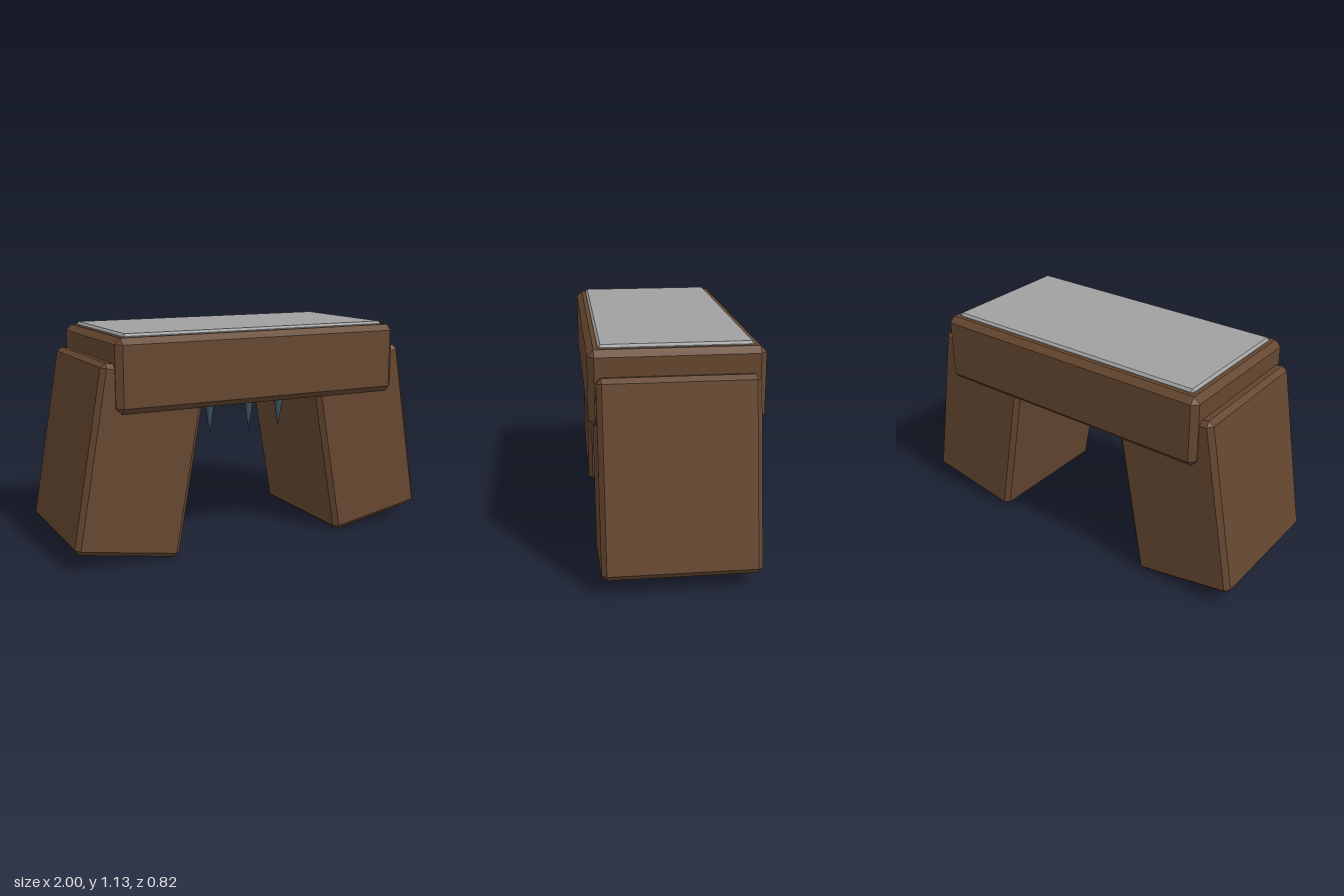
import * as THREE from 'three';
import { ConvexGeometry } from 'three/addons/geometries/ConvexGeometry.js';

// Box with every edge cut by a flat chamfer c
function chamferBox(w, h, d, c) {
  const points = [];
  for (const sx of [-1, 1]) for (const sy of [-1, 1]) for (const sz of [-1, 1]) {
    for (let axis = 0; axis < 3; axis++) {
      const half = [w / 2, h / 2, d / 2].map((v, i) => (i === axis ? v : v - c));
      points.push(new THREE.Vector3(sx * half[0], sy * half[1], sz * half[2]));
    }
  }
  return new ConvexGeometry(points);
}

export function createModel() {
  const group = new THREE.Group();
  const brown = new THREE.MeshStandardMaterial({ name: 'brown', color: 0x654730 });
  const grey = new THREE.MeshStandardMaterial({ name: 'grey', color: 0xa0a0a0 });
  const slate = new THREE.MeshStandardMaterial({ name: 'slate', color: 0x3f5760 });

  const add = (name, geometry, material, x, y, z) => {
    const mesh = new THREE.Mesh(geometry, material);
    mesh.name = name;
    mesh.position.set(x, y, z);
    group.add(mesh);
    return mesh;
  };

  // Thick lintel slab with a pale plate let into its top
  add('slab', chamferBox(1.57, 0.36, 0.82, 0.03), brown, 0, 0.935, 0);
  add('topPlate', chamferBox(1.47, 0.05, 0.72, 0.012), grey, 0, 1.106, 0);

  // Splayed block legs
  for (const side of [-1, 1]) {
    const leg = add(side > 0 ? 'leftLeg' : 'rightLeg',
      chamferBox(0.548, 0.927, 0.75, 0.024), brown, side * 0.654, 0.5, 0);
    leg.rotation.z = side * THREE.MathUtils.degToRad(10);
  }

  // Row of spikes hanging beneath the slab
  const spike = new THREE.ConeGeometry(0.039, 0.26, 12);
  spike.rotateX(Math.PI);
  for (const x of [-0.31, -0.105, 0.135, 0.325]) {
    add('spike', spike, slate, x, 0.65, -0.03);
  }
  return group;
}
